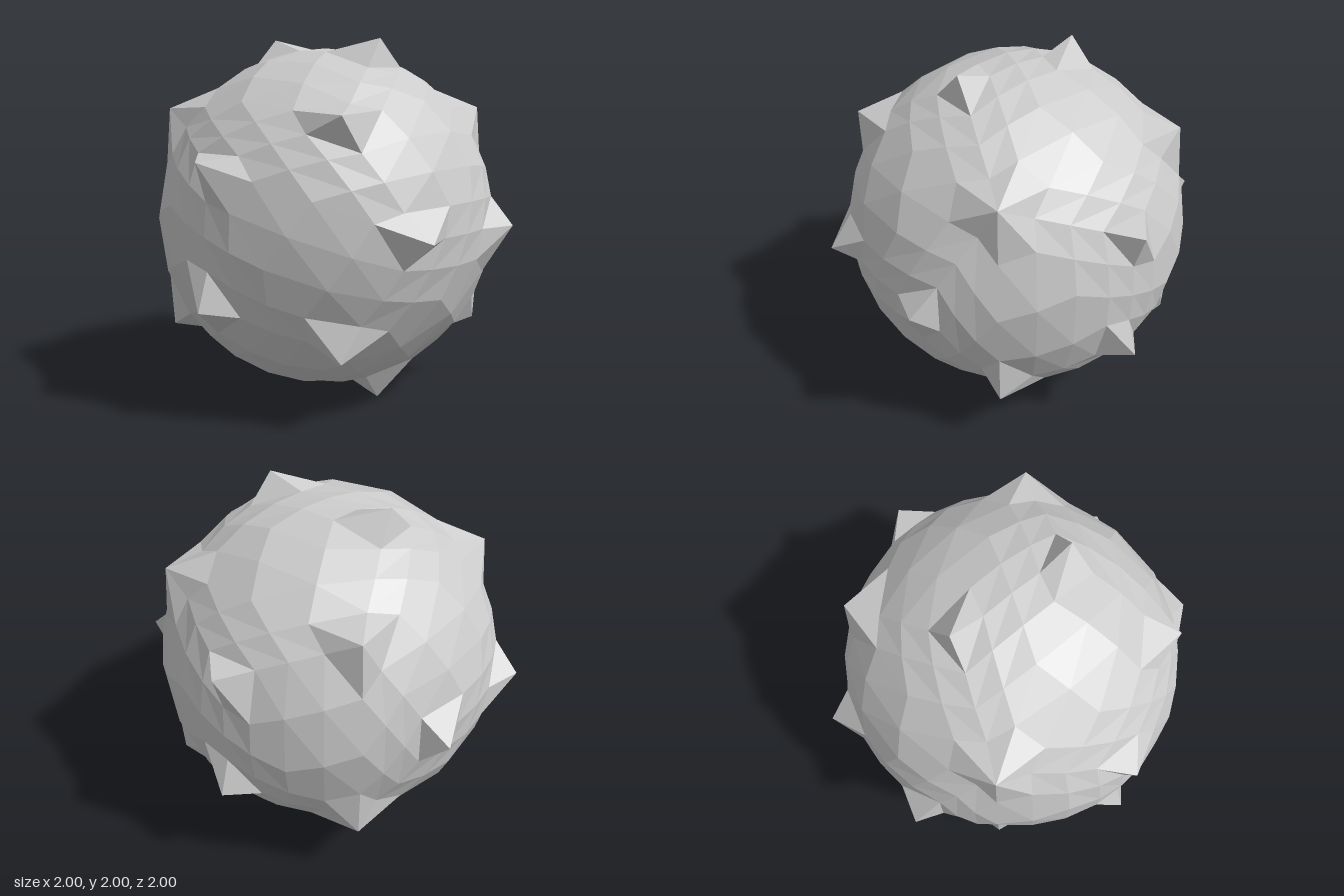
import * as THREE from 'three';

const PHI = (1 + Math.sqrt(5)) / 2;
const SHORT = 1 / (PHI * PHI); // short coordinate of an edge corner
const CUBE = 1 / PHI;          // coordinate of a cube corner
const BALL_RADIUS = 0.95;
const STEPS = 4;               // divisions along each triangle side
const v = (x, y, z) => new THREE.Vector3(x, y, z);

// The 20 dodecahedron corners, which become the spike tips, and the 12 face directions
function dodecahedron() {
  const corners = [], faces = [];
  for (const a of [1, -1]) for (const b of [1, -1]) {
    corners.push(v(a, b * SHORT, 0), v(0, a, b * SHORT), v(b * SHORT, 0, a));
    faces.push(v(a * PHI, 0, b), v(b, a * PHI, 0), v(0, b, a * PHI));
    for (const c of [1, -1]) corners.push(v(a, b, c).multiplyScalar(CUBE));
  }
  return { corners, faces };
}

// Corners from which the pentagons are fanned, in order of preference
const FAN_CORNERS = [
  v(CUBE, CUBE, CUBE), v(CUBE, -CUBE, -CUBE), v(-CUBE, CUBE, -CUBE),
  v(SHORT, 0, 1), v(-1, SHORT, 0), v(0, -1, -SHORT),
];

// The five corners of a face, counter-clockwise from its fan corner
function pentagon(corners, direction) {
  const n = direction.clone().normalize();
  const ring = corners.slice().sort((p, q) => q.dot(n) - p.dot(n)).slice(0, 5);
  const start = FAN_CORNERS.find((f) => ring.some((p) => p.distanceTo(f) < 0.01));
  const axisU = start.clone().addScaledVector(n, -start.dot(n)).normalize();
  const axisV = n.clone().cross(axisU);
  const angle = (p) => (Math.atan2(p.dot(axisV), p.dot(axisU)) + 2 * Math.PI + 0.01) % (2 * Math.PI);
  return ring.sort((p, q) => angle(p) - angle(q));
}

// Divide a triangle; inner points go onto the ball, its corners stay out as spikes
function divide(a, b, c, out) {
  const point = (i, j) => {
    const k = STEPS - i - j;
    const p = v(0, 0, 0).addScaledVector(a, k / STEPS).addScaledVector(b, i / STEPS).addScaledVector(c, j / STEPS);
    return Math.max(i, j, k) === STEPS ? p : p.setLength(BALL_RADIUS);
  };
  const add = (...points) => points.forEach((p) => out.push(p.x, p.y, p.z));
  for (let i = 0; i < STEPS; i++) for (let j = 0; j < STEPS - i; j++) {
    add(point(i, j), point(i + 1, j), point(i, j + 1));
    if (i + j < STEPS - 1) add(point(i + 1, j), point(i + 1, j + 1), point(i, j + 1));
  }
}

export function createModel() {
  const { corners, faces } = dodecahedron();
  const positions = [];
  for (const face of faces) {
    const ring = pentagon(corners, face);
    for (let i = 1; i < 4; i++) divide(ring[0], ring[i], ring[i + 1], positions);
  }

  const geometry = new THREE.BufferGeometry();
  geometry.setAttribute('position', new THREE.Float32BufferAttribute(positions, 3));
  geometry.computeVertexNormals();

  // Faceted ball with twenty spikes
  const ball = new THREE.Mesh(geometry, new THREE.MeshStandardMaterial({ color: 0xcccccc, flatShading: true }));
  ball.name = 'spikedBall';
  ball.position.y = 1;

  const group = new THREE.Group();
  group.name = 'spikedBallModel';
  group.add(ball);
  return group;
}
